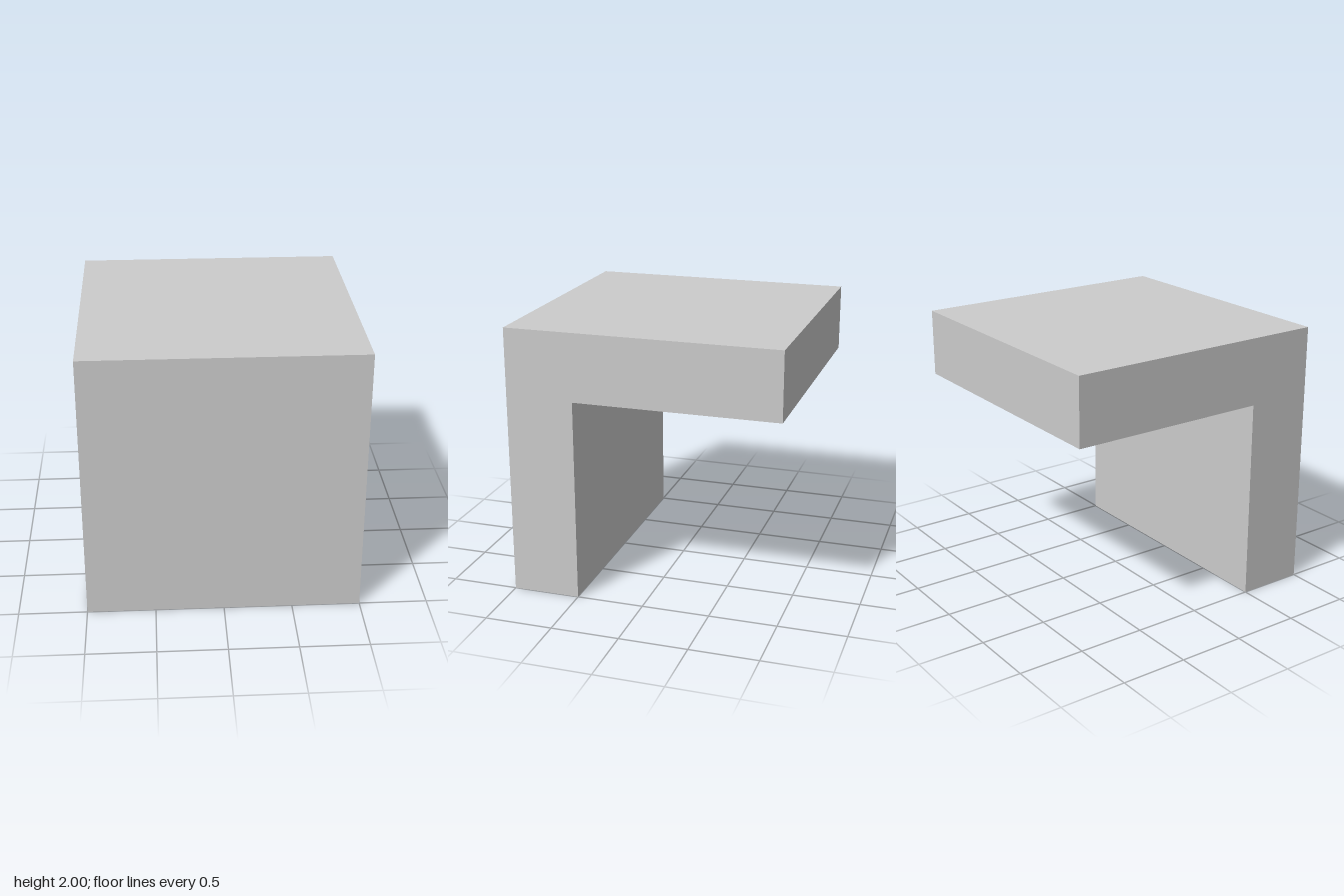
import * as THREE from 'three';

export function createModel() {
  const group = new THREE.Group();
  group.name = 'angleBlock';

  // L-shaped side profile: x is depth (front positive), y is height
  const profile = new THREE.Shape([
    [1, 0], [1, 2], [-1, 2], [-1, 1.5], [0.5, 1.5], [0.5, 0],
  ].map(([z, y]) => new THREE.Vector2(z, y)));

  // Sweep the profile across the full width
  const width = 2;
  const geometry = new THREE.ExtrudeGeometry(profile, { depth: width, bevelEnabled: false });
  geometry.translate(0, 0, -width / 2);
  geometry.rotateY(-Math.PI / 2);

  const block = new THREE.Mesh(
    geometry,
    new THREE.MeshStandardMaterial({ color: 0xcccccc, flatShading: true }),
  );
  block.name = 'frontWallAndTopSlab';
  group.add(block);
  return group;
}
